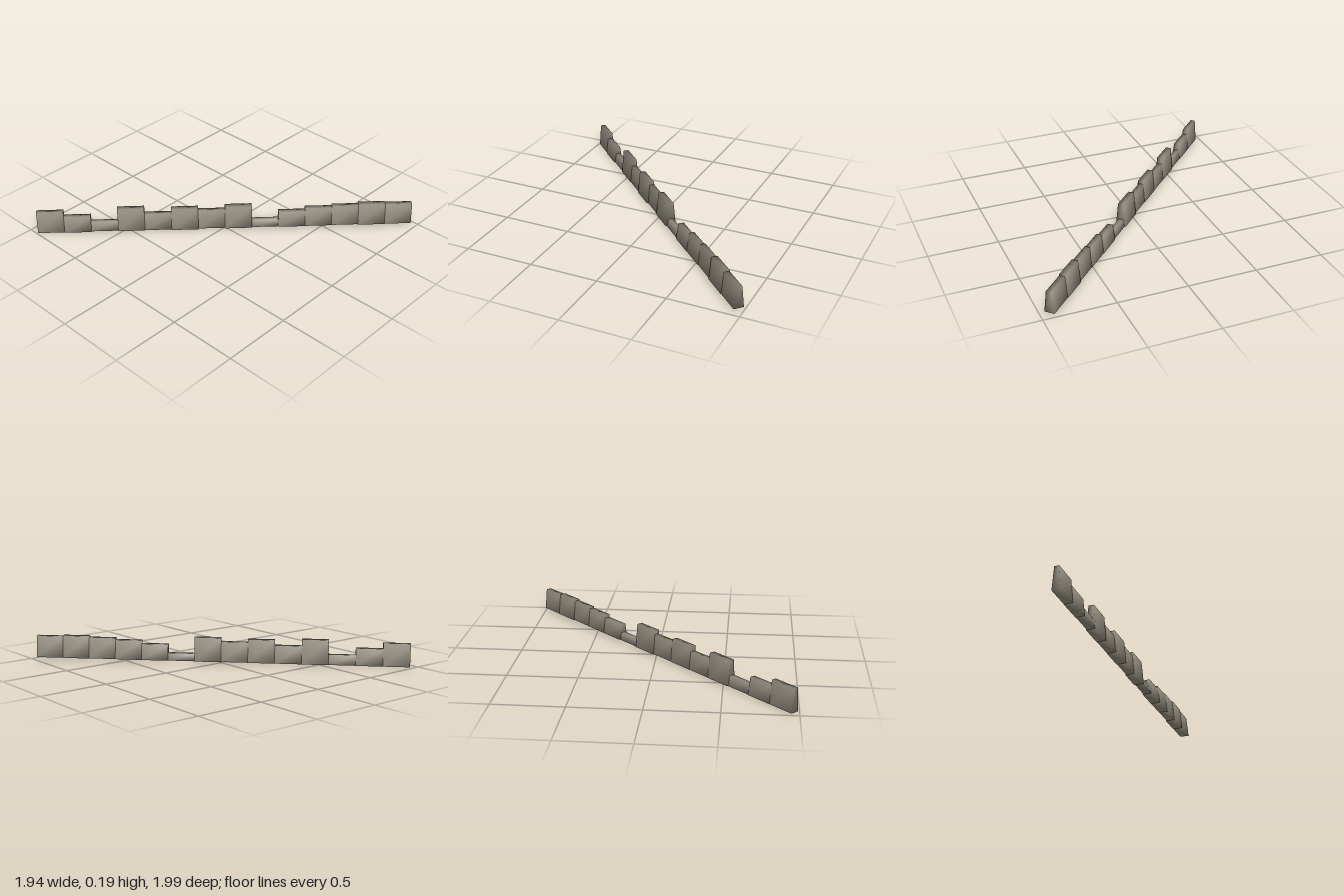
import * as THREE from 'three';
import { mergeVertices } from 'three/addons/utils/BufferGeometryUtils.js';

// Each block of the broken wall: [top height, base thickness, sideways offset]
const BLOCKS = [
  [0.168, 0.062, 0], [0.127, 0.068, 0.002], [0.078, 0.056, 0], [0.186, 0.07, 0],
  [0.138, 0.064, 0], [0.178, 0.074, 0.003], [0.158, 0.06, 0], [0.188, 0.076, 0],
  [0.068, 0.06, 0], [0.133, 0.074, 0], [0.159, 0.07, 0], [0.174, 0.064, 0],
  [0.184, 0.078, 0], [0.18, 0.071, 0],
];
const START = new THREE.Vector2(-0.95, 0.97);
const END = new THREE.Vector2(0.945, -0.972);
const RISE = 0.025; // the ground climbs slightly along the wall

// Block with a tapered top and normals shared over its corners
function blockGeometry(length, height, thickness) {
  const box = new THREE.BoxGeometry(length, height, thickness);
  const pos = box.attributes.position;
  for (let i = 0; i < pos.count; i++) {
    if (pos.getY(i) > 0) pos.setZ(i, pos.getZ(i) * 0.56);
  }
  box.deleteAttribute('normal');
  box.deleteAttribute('uv');
  const smooth = mergeVertices(box);
  smooth.clearGroups();
  smooth.computeVertexNormals();
  return smooth;
}

export function createModel() {
  const model = new THREE.Group();
  model.name = 'ruinedWall';
  const stone = new THREE.MeshStandardMaterial({ color: 0x9a9385 });
  stone.name = 'weathered stone';

  const run = END.clone().sub(START);
  const length = run.length() / BLOCKS.length;
  const yaw = Math.atan2(-run.y, run.x);

  // Stones in a row along the diagonal
  BLOCKS.forEach(([top, thickness, offset], i) => {
    const t = (i + 0.5) / BLOCKS.length;
    const base = RISE * t;
    const block = new THREE.Mesh(blockGeometry(length, top - base, thickness), stone);
    block.name = `wallBlock${i + 1}`;
    block.position.set(
      START.x + run.x * t + offset * Math.sin(yaw),
      (top + base) / 2,
      START.y + run.y * t + offset * Math.cos(yaw));
    block.rotation.set(0, yaw, Math.atan2(RISE, run.length()));
    model.add(block);
  });
  return model;
}
